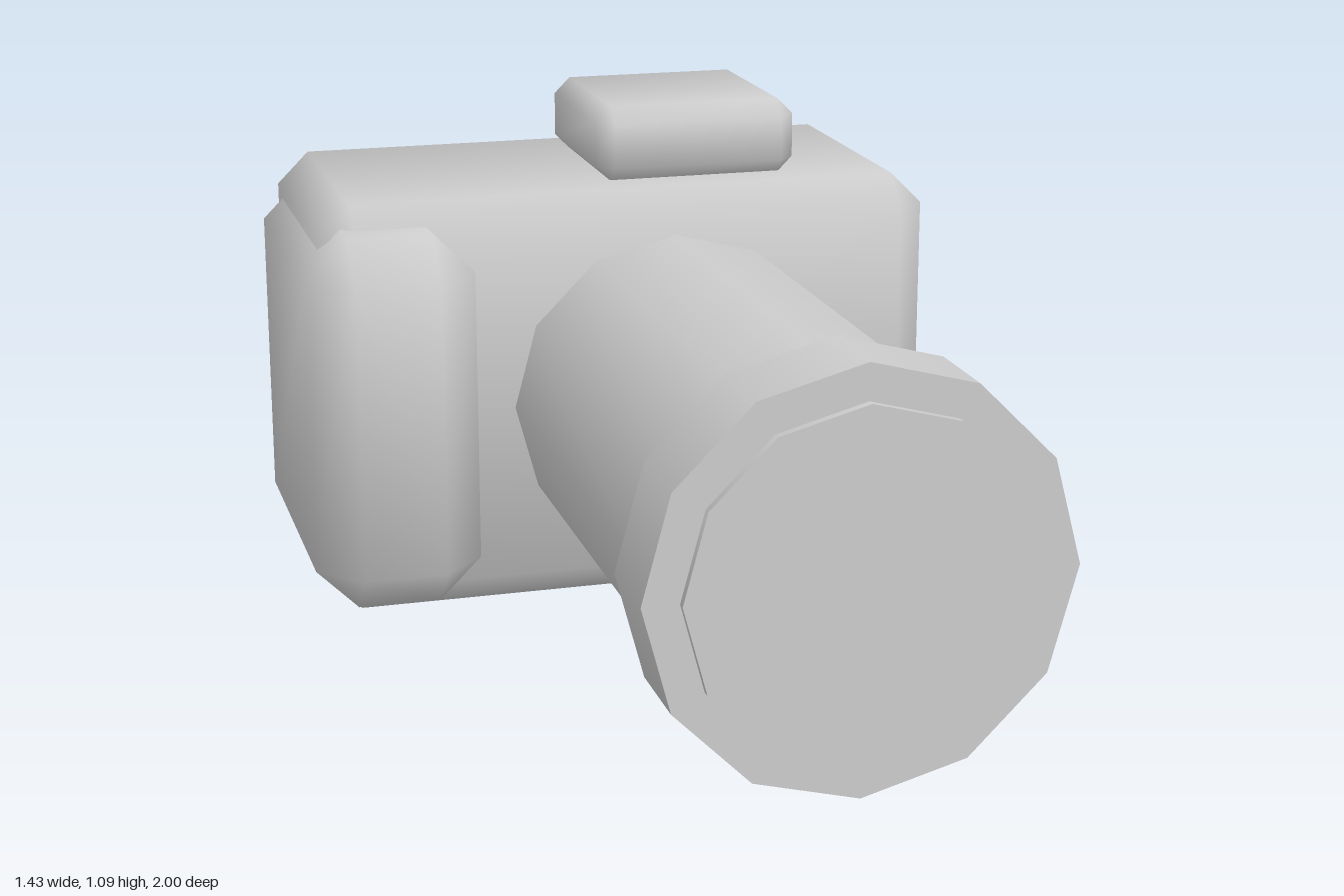
import * as THREE from 'three';
import { ConvexGeometry } from 'three/addons/geometries/ConvexGeometry.js';

const grey = new THREE.MeshStandardMaterial({ color: 0xcccccc });
grey.name = 'plain grey';

// Box with a single chamfer on every edge and soft normals, given by its limits
function chamferedBox(name, min, max, bevel) {
  const half = min.map((v, i) => (max[i] - v) / 2);
  const points = [];
  for (const sx of [-1, 1]) for (const sy of [-1, 1]) for (const sz of [-1, 1]) {
    const sign = [sx, sy, sz];
    // Each corner becomes three points, one lying on each adjoining face
    for (let face = 0; face < 3; face++) {
      points.push(new THREE.Vector3(...sign.map((s, i) => s * (half[i] - (i === face ? 0 : bevel)))));
    }
  }
  const geometry = new ConvexGeometry(points);
  // Normals lean from the face each point lies on toward its corner
  const pos = geometry.attributes.position;
  const normal = geometry.attributes.normal;
  for (let v = 0; v < pos.count; v++) {
    const n = new THREE.Vector3(...half.map((h, i) => {
      const c = pos.getComponent(v, i);
      return Math.sign(c) * (Math.abs(c) > h - bevel / 2 ? 3 : 1.2);
    })).normalize();
    normal.setXYZ(v, n.x, n.y, n.z);
  }
  const mesh = new THREE.Mesh(geometry, grey);
  mesh.name = name;
  mesh.position.set(...min.map((v, i) => (v + max[i]) / 2));
  return mesh;
}

// Twelve-sided cylinder along z on the lens axis
function lensSection(name, radius, back, front) {
  const geometry = new THREE.CylinderGeometry(radius, radius, front - back, 12);
  geometry.rotateX(Math.PI / 2);
  const mesh = new THREE.Mesh(geometry, grey);
  mesh.name = name;
  mesh.position.set(0.113, 0.463, (back + front) / 2);
  return mesh;
}

export function createModel() {
  const model = new THREE.Group();
  model.name = 'camera';

  // Body, hand grip and top housing
  model.add(
    chamferedBox('body', [-0.67, 0, -1], [0.712, 0.925, -0.265], 0.072),
    chamferedBox('handGrip', [-0.715, 0.047, -0.955], [-0.348, 0.878, -0.13], 0.092),
    chamferedBox('flashHousing', [-0.025, 0.92, -0.86], [0.435, 1.09, -0.4], 0.036)
  );

  // Long lens with a wide rim and front glass
  model.add(
    lensSection('lensBarrel', 0.368, -0.4, 0.81),
    lensSection('lensRim', 0.423, 0.8, 0.983),
    lensSection('lensGlass', 0.35, 0.97, 1)
  );
  return model;
}
